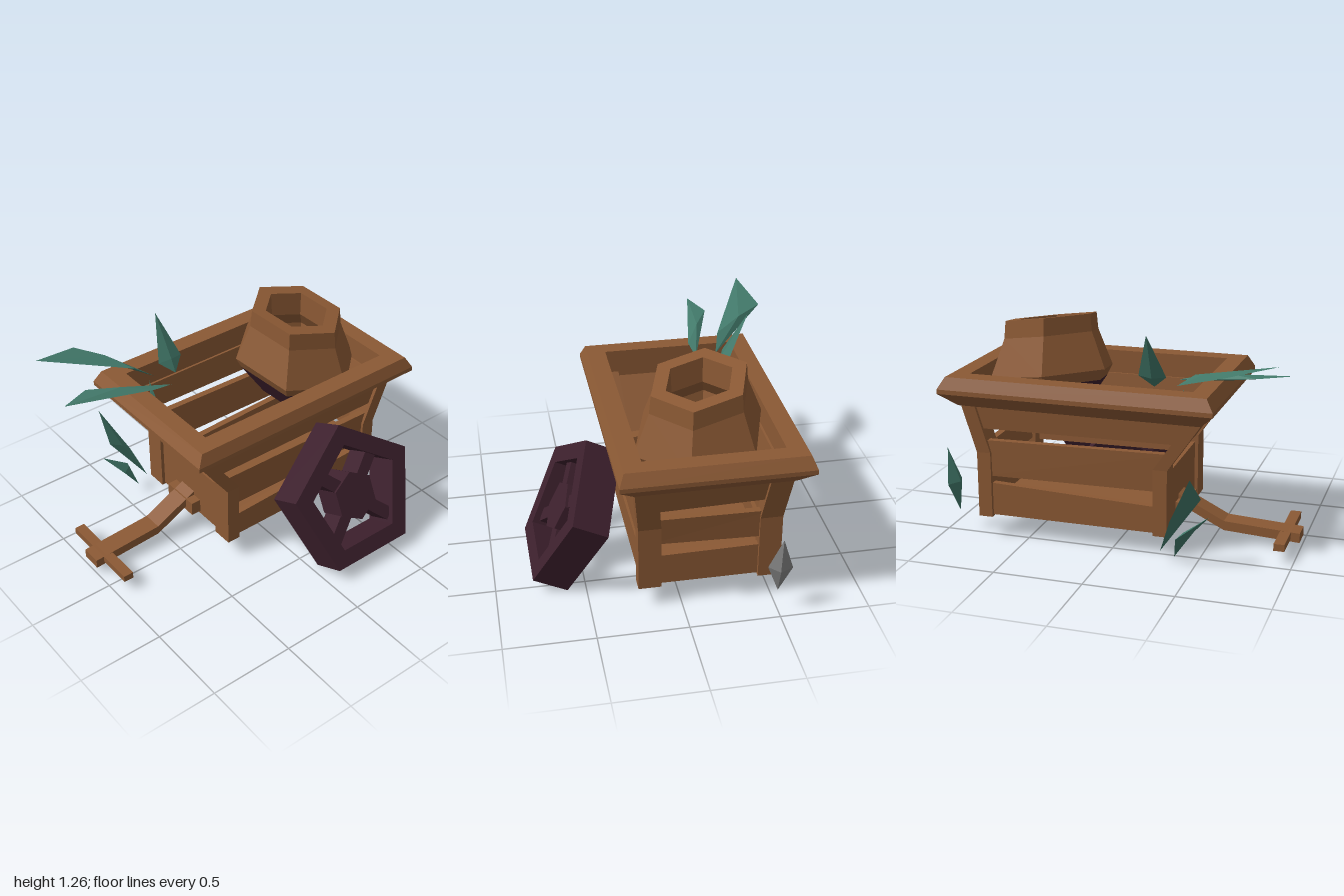
import * as THREE from 'three';

const mat = (name, color) => {
  const m = new THREE.MeshStandardMaterial({ color });
  m.name = name;
  return m;
};

// Faceted geometry from a list of triangles (each three [x,y,z] points)
function facets(tris) {
  const g = new THREE.BufferGeometry();
  g.setAttribute('position', new THREE.Float32BufferAttribute(tris.flat(2), 3));
  g.computeVertexNormals();
  return g;
}

// Skins a row of equal-sized loops; the solid is turned outward by its signed volume
function loft(loops, ring = false) {
  const tris = [], n = loops[0].length, count = ring ? loops.length : loops.length - 1;
  for (let i = 0; i < count; i++) {
    const a = loops[i], b = loops[(i + 1) % loops.length];
    for (let j = 0; j < n; j++) {
      const k = (j + 1) % n;
      tris.push([a[j], a[k], b[k]], [a[j], b[k], b[j]]);
    }
  }
  if (!ring) {
    const a = loops[0], b = loops[loops.length - 1];
    for (let j = 1; j < n - 1; j++) tris.push([a[0], a[j + 1], a[j]], [b[0], b[j], b[j + 1]]);
  }
  let volume = 0;
  for (const [p, q, r] of tris) {
    volume += new THREE.Vector3(...p).dot(new THREE.Vector3(...q).cross(new THREE.Vector3(...r)));
  }
  if (volume < 0) tris.forEach((t) => t.reverse());
  return facets(tris);
}

// Ridged leaf (base, side, tip, side); the two faces are separate material groups
function leafGeometry(p, ridge) {
  const v = p.map((q) => new THREE.Vector3(...q));
  const n = v[2].clone().sub(v[0]).cross(v[3].clone().sub(v[1])).normalize();
  const mid = v[1].clone().add(v[3]).multiplyScalar(0.5);
  const front = mid.clone().addScaledVector(n, ridge).toArray();
  const back = mid.clone().addScaledVector(n, -ridge).toArray();
  const tris = [];
  for (let i = 0; i < 4; i++) tris.push([p[i], p[(i + 1) % 4], front]);
  for (let i = 0; i < 4; i++) tris.push([p[(i + 1) % 4], p[i], back]);
  const g = facets(tris);
  g.addGroup(0, 12, 0);
  g.addGroup(12, 12, 1);
  return g;
}

const polygon = (Type, n, r) => {
  const pts = [];
  for (let i = 0; i < n; i++) {
    const a = Math.PI / 2 + (i * 2 * Math.PI) / n;
    pts.push(new THREE.Vector2(r * Math.cos(a), r * Math.sin(a)));
  }
  return new Type(pts);
};

export function createModel() {
  const wood = mat('wood', 0x8b5934), plum = mat('plum', 0x3d202d);
  const green = mat('leafGreen', 0x42796a), grey = mat('leafGrey', 0x858585);
  const model = new THREE.Group();
  model.name = 'gardenCart';
  const add = (name, geometry, material, parent = model) => {
    const m = new THREE.Mesh(geometry, material);
    m.name = name;
    parent.add(m);
    return m;
  };
  const box = (name, x, y, z, px, py, pz, material = wood, parent = model) => {
    const m = add(name, new THREE.BoxGeometry(x, y, z), material, parent);
    m.position.set(px, py, pz);
    return m;
  };

  // Body walls: straight below y 0.51, flaring above
  const cx = -0.155, cz = -0.175;
  const flare = (y) => Math.max(0, (y - 0.51) / 0.29);
  const halfX = (y) => 0.395 + 0.03 * flare(y);
  const wallZ = (s, y) => (s > 0 ? 0.325 + 0.2 * flare(y) : -0.78 - 0.075 * flare(y));

  // Corner posts
  for (const sx of [-1, 1]) for (const sz of [-1, 1]) {
    add('cornerPost', loft([0.13, 0.51, 0.82].map((y) => {
      const xo = cx + sx * halfX(y), zo = wallZ(sz, y);
      const xi = xo - sx * 0.125, zi = zo - sz * 0.08;
      return [[xo, y, zo], [xi, y, zo], [xi, y, zi], [xo, y, zi]];
    })), wood);
  }

  // Side planks: bottom and top heights at the front end, then at the back end
  for (const s of [-1, 1]) {
    for (const ends of [[0.14, 0.29, 0.14, 0.33], [0.38, 0.6, 0.37, 0.58], [0.66, 0.82, 0.65, 0.82]]) {
      add('sidePlank', loft([1, -1].map((sz, i) => {
        const [y0, y1] = ends.slice(i * 2, i * 2 + 2);
        const pt = (y, t) => [cx + s * (halfX(y) - t), y, wallZ(sz, y) - sz * 0.04];
        return [pt(y0, 0.02), pt(y0, 0.06), pt(y1, 0.06), pt(y1, 0.02)];
      })), wood);
    }
  }

  // End planks: bottom and top heights at the -x end, then at the +x end
  const endPlanks = {
    1: [[0.14, 0.32, 0.14, 0.32], [0.32, 0.46, 0.32, 0.47], [0.545, 0.82, 0.5, 0.82]],
    [-1]: [[0.14, 0.33, 0.14, 0.32], [0.38, 0.55, 0.4, 0.56], [0.64, 0.82, 0.62, 0.82]],
  };
  for (const sz of [1, -1]) for (const ends of endPlanks[sz]) {
    add(sz > 0 ? 'frontPlank' : 'backPlank', loft([-1, 1].map((sx, i) => {
      const [y0, y1] = ends.slice(i * 2, i * 2 + 2);
      const pt = (y, t) => [cx + sx * (halfX(y) - 0.05), y, wallZ(sz, y) - sz * t];
      return [pt(y0, 0.02), pt(y0, 0.06), pt(y1, 0.06), pt(y1, 0.02)];
    })), wood);
  }
  box('floor', 0.72, 0.04, 1.02, cx, 0.18, -0.23);

  // Bevelled top rim: [half width, half length, height] around its profile
  const rimProfile = [[0.43, 0.69, 0.785], [0.515, 0.775, 0.865], [0.515, 0.775, 0.89],
    [0.487, 0.735, 0.957], [0.38, 0.635, 0.957], [0.38, 0.635, 0.785]];
  add('rim', loft(rimProfile.map(([x, z, y]) => [[1, 1], [1, -1], [-1, -1], [-1, 1]]
    .map(([a, b]) => [cx + a * x, y, cz + b * z])), true), wood);

  // Pull handle
  add('handleShaft', loft([[0.29, 0.25], [0.57, 0.11], [1.0, 0.085]].map(([z, y]) =>
    [[-0.24, y + 0.027, z], [-0.12, y + 0.027, z], [-0.12, y - 0.027, z], [-0.24, y - 0.027, z]])), wood);
  box('handleBracket', 0.24, 0.085, 0.06, -0.18, 0.2, 0.335);
  box('handleBar', 0.52, 0.04, 0.06, -0.17, 0.096, 0.92);

  // Six-sided pot whose rings slope down towards the back left corner
  const pot = new THREE.Group();
  pot.name = 'pot';
  pot.position.set(-0.142, 0, -0.475);
  model.add(pot);
  const hexRings = (profile) => loft(profile.map(([r, y]) => [0, 1, 2, 3, 4, 5].map((i) => {
    const a = (i * 60 - 12) * Math.PI / 180, x = r * Math.cos(a), z = r * Math.sin(a);
    return [x, y - 0.14 * x + 0.14 * z, z];
  })));
  add('potBody', hexRings([[0.34, 0.84], [0.373, 0.9], [0.285, 1.12], [0.275, 1.22],
    [0.19, 1.22], [0.18, 1.08], [0.25, 0.98], [0.22, 0.86]]), wood, pot);
  add('potBase', hexRings([[0.2, 0.66], [0.34, 0.84]]), plum, pot);

  // Loose five-sided wheel leaning on the cart
  const wheel = new THREE.Group();
  wheel.name = 'wheel';
  wheel.position.set(0.543, 0.373, -0.305);
  wheel.rotation.set(0, Math.PI / 2, 0.457, 'ZYX');
  model.add(wheel);
  const tyre = polygon(THREE.Shape, 5, 0.438);
  tyre.holes.push(polygon(THREE.Path, 5, 0.318));
  const extrude = (shape, depth) =>
    new THREE.ExtrudeGeometry(shape, { depth, bevelEnabled: false }).translate(0, 0, -depth / 2);
  add('wheelRim', extrude(tyre, 0.21), plum, wheel);
  add('wheelHub', extrude(polygon(THREE.Shape, 6, 0.148), 0.17), plum, wheel);
  for (let i = 0; i < 4; i++) {
    const a = Math.PI / 4 + i * Math.PI / 2;
    box('wheelSpoke', 0.19, 0.075, 0.14, 0.2 * Math.cos(a), 0.2 * Math.sin(a), 0, plum, wheel)
      .rotation.z = a;
  }

  // Leaves on the rim, beside the cart and inside it
  const leaves = [
    [[-0.42, 0.95, 0.34], [-0.455, 1.03, 0.45], [-0.685, 1.165, 0.94], [-0.76, 1.1, 0.66]],
    [[-0.295, 0.95, 0.31], [-0.275, 0.98, 0.44], [-0.375, 1.04, 0.96], [-0.45, 1.03, 0.78]],
    [[-0.4, 0.93, 0.21], [-0.45, 1.0, 0.135], [-0.575, 1.25, 0.215], [-0.45, 1.0, 0.29]],
    [[-0.62, 0.08, 0.31], [-0.69, 0.28, 0.38], [-0.795, 0.565, 0.515], [-0.65, 0.41, 0.54]],
    [[-0.605, 0.05, 0.385], [-0.68, 0.18, 0.41], [-0.66, 0.32, 0.59], [-0.585, 0.2, 0.49]],
    [[-0.4, 0.56, 0.3], [-0.36, 0.7, 0.34], [-0.42, 0.94, 0.38], [-0.45, 0.7, 0.36]],
  ];
  for (const pts of leaves) add('leaf', leafGeometry(pts, 0.018), [green, green]);
  add('backLeaf', leafGeometry([[-0.5, 0.13, -0.92], [-0.435, 0.3, -0.935],
    [-0.5, 0.5, -0.985], [-0.565, 0.3, -0.96]], 0.04), [green, grey]);

  return model;
}
